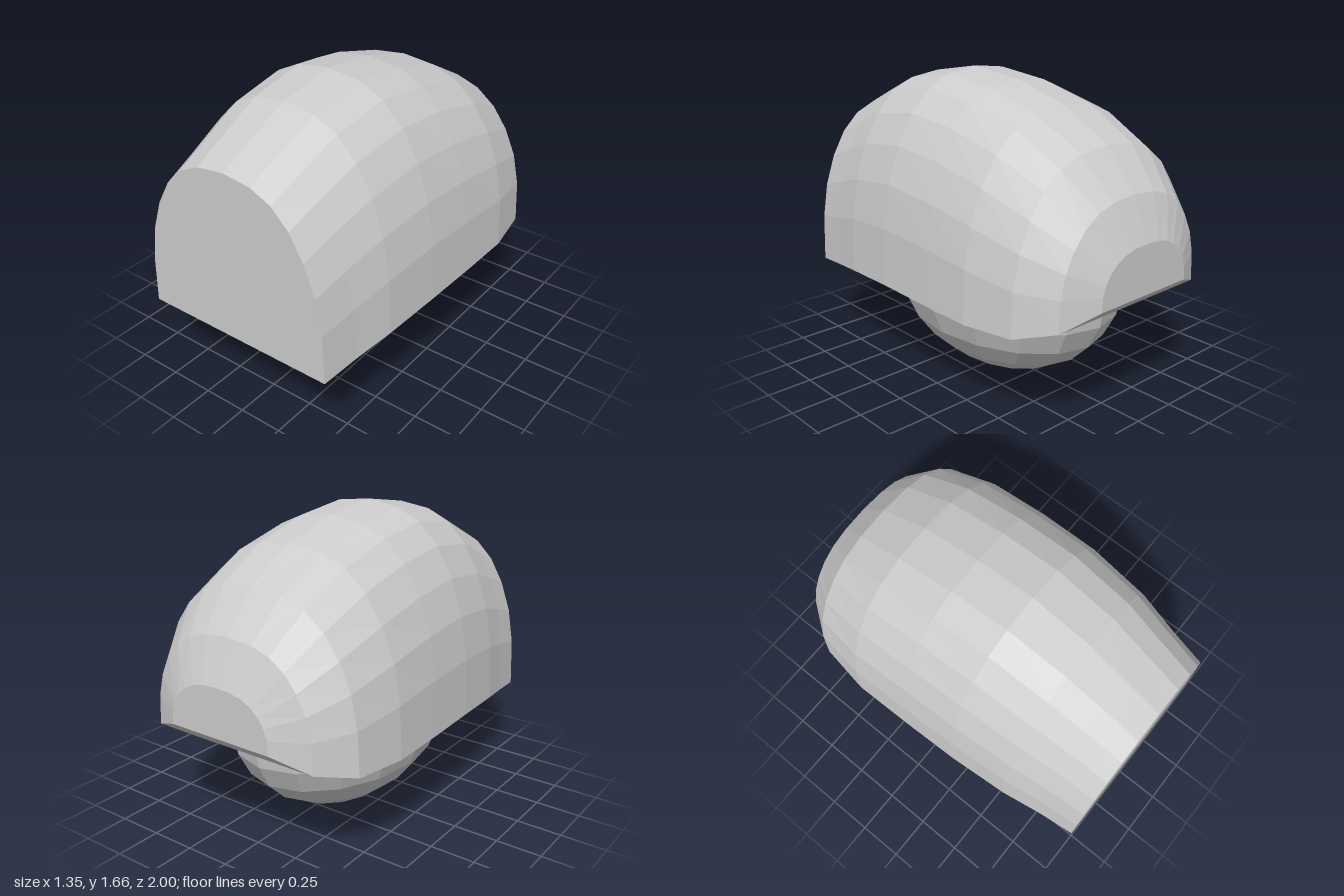
import * as THREE from 'three';

// Joins arch cross-sections from front to back and closes both ends and the base.
function loft(stations, arch) {
  const half = arch.slice(0, -1);
  const outline = [...arch, ...half.reverse().map(([x, y]) => [-x, y])];
  const n = outline.length;
  const positions = [];
  const index = [];
  stations.forEach(([z, width, base, top]) => {
    for (const [x, y] of outline) positions.push(x * width, base + y * (top - base), z);
  });
  for (let k = 0; k < stations.length - 1; k++) {
    for (let i = 0; i < n; i++) {
      const j = (i + 1) % n;
      const a = k * n + i, b = k * n + j, c = b + n, d = a + n;
      index.push(a, d, b, b, d, c);
    }
  }
  const last = (stations.length - 1) * n;
  for (let i = 1; i < n - 1; i++) {
    index.push(0, i, i + 1);
    index.push(last, last + i + 1, last + i);
  }
  const geometry = new THREE.BufferGeometry();
  geometry.setAttribute('position', new THREE.Float32BufferAttribute(positions, 3));
  geometry.setIndex(index);
  const flat = geometry.toNonIndexed();
  flat.computeVertexNormals();
  return flat;
}

export function createModel() {
  const group = new THREE.Group();
  const grey = new THREE.MeshStandardMaterial({ color: 0xcccccc, flatShading: true });
  grey.name = 'light grey';

  // Half arch, from the base corner to the crown, in unit width and height
  const arch = [
    [1, 0], [0.98, 0.283], [0.92, 0.493], [0.815, 0.671],
    [0.675, 0.816], [0.5, 0.92], [0.29, 0.978], [0, 1],
  ];
  // z, half width, base height, crown height
  const stations = [
    [1, 0.56, 0.475, 1.405],
    [0.8, 0.587, 0.5, 1.5],
    [0.57, 0.63, 0.533, 1.605],
    [0.23, 0.66, 0.555, 1.665],
    [-0.1, 0.67, 0.555, 1.63],
    [-0.44, 0.675, 0.555, 1.54],
    [-0.73, 0.63, 0.565, 1.385],
    [-0.91, 0.5, 0.61, 1.18],
    [-1, 0.31, 0.69, 0.955],
  ];
  const shell = new THREE.Mesh(loft(stations, arch), grey);
  shell.name = 'shell';
  group.add(shell);

  // Rounded underside: lower half of a stretched sphere
  const bowl = new THREE.SphereGeometry(1, 16, 6, 0, Math.PI * 2, Math.PI / 2, Math.PI / 2);
  bowl.scale(0.52, 0.57, 0.76);
  const belly = new THREE.Mesh(bowl, grey);
  belly.name = 'belly';
  belly.position.set(0, 0.573, 0.01);
  group.add(belly);

  return group;
}
